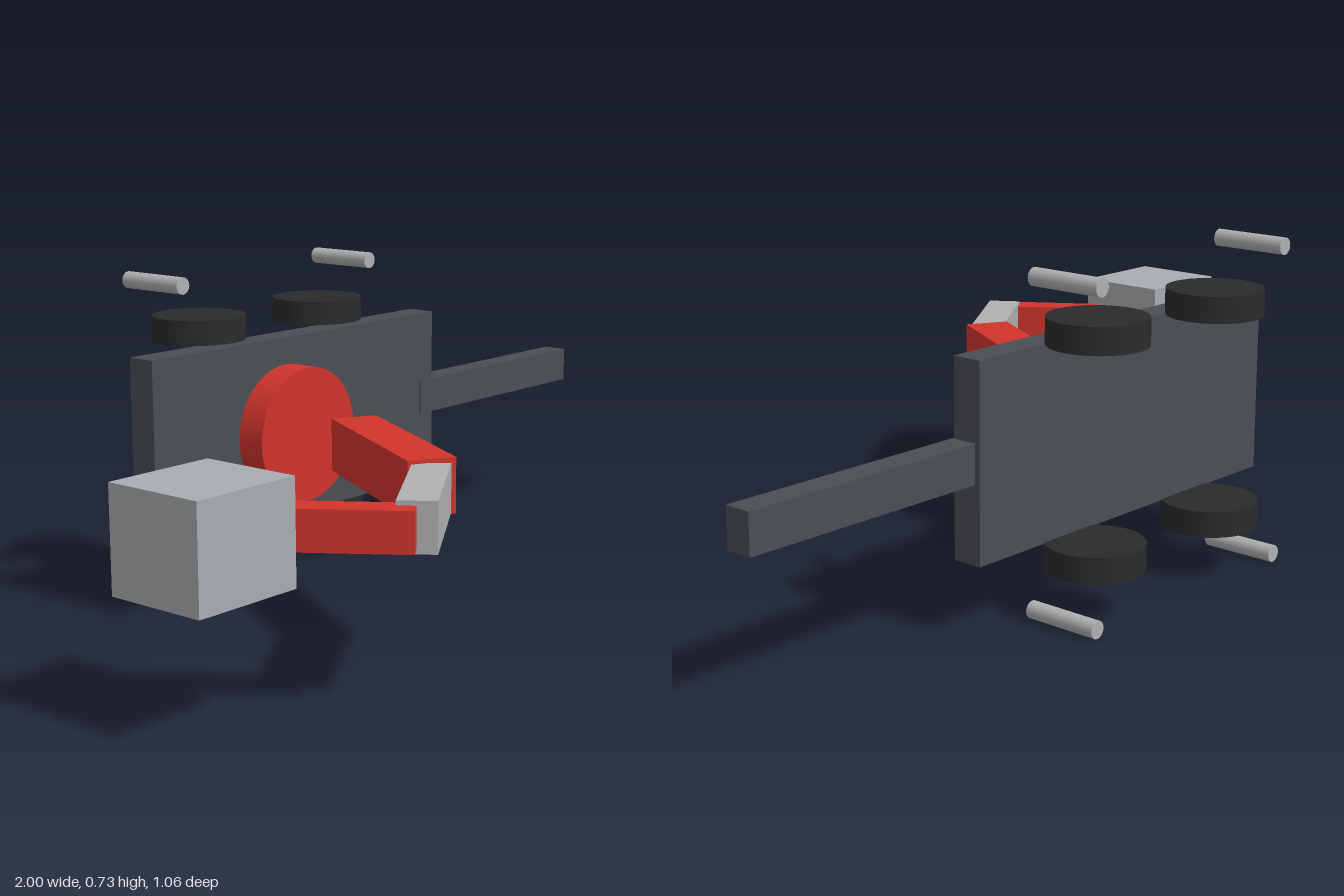
import * as THREE from 'three';

const MID = 0.364; // height of the model's plane of symmetry

export function createModel() {
  const model = new THREE.Group();
  const paint = (color) => new THREE.MeshStandardMaterial({ color });
  const dark = paint(0x4a4e53), black = paint(0x2b2b2b), red = paint(0xd0342c);
  const steel = paint(0xb0b0b0), basketGrey = paint(0xa9adaf);

  const add = (name, geometry, material, x, y, z) => {
    const mesh = new THREE.Mesh(geometry, material);
    mesh.name = name;
    mesh.position.set(x, y, z);
    model.add(mesh);
    return mesh;
  };

  // Square boom section running between two points [x, z]
  const boom = (name, from, to, width, height, material) => {
    const dx = to[0] - from[0], dz = to[1] - from[1];
    const mesh = add(name, new THREE.BoxGeometry(width, height, Math.hypot(dx, dz)), material,
      (from[0] + to[0]) / 2, MID, (from[1] + to[1]) / 2);
    mesh.rotation.y = Math.atan2(dx, dz);
  };

  // Chassis and tow bar
  add('chassis', new THREE.BoxGeometry(0.932, 0.414, 0.067), dark, -0.034, MID, -0.326);
  add('towBar', new THREE.BoxGeometry(0.616, 0.083, 0.059), dark, 0.692, MID, -0.318);

  // Wheels and outrigger legs, mirrored about the middle plane
  const wheel = new THREE.CylinderGeometry(0.105, 0.105, 0.057, 32);
  const leg = new THREE.CylinderGeometry(0.019, 0.019, 0.171, 16).rotateX(Math.PI / 2);
  for (const side of [-1, 1]) {
    for (const x of [-0.229, 0.163]) add('wheel', wheel, black, x, MID + side * 0.233, -0.429);
    for (const x of [-0.352, 0.263]) add('outriggerLeg', leg, steel, x, MID + side * 0.344, -0.434);
  }

  // Turntable
  add('turntable', new THREE.CylinderGeometry(0.151, 0.151, 0.068, 48).rotateX(Math.PI / 2),
    red, -0.117, MID, -0.237);

  // Folding arm
  boom('lowerBoom', [-0.12, -0.067], [-0.336, 0.324], 0.103, 0.115, red);
  boom('middleBoom', [-0.337, 0.324], [-0.593, 0.495], 0.077, 0.1, steel);
  boom('upperBoom', [-0.6, 0.499], [-0.787, 0.229], 0.063, 0.081, red);

  // Work basket
  add('basket', new THREE.BoxGeometry(0.243, 0.209, 0.22), basketGrey, -0.878, MID, 0.239);

  return model;
}
